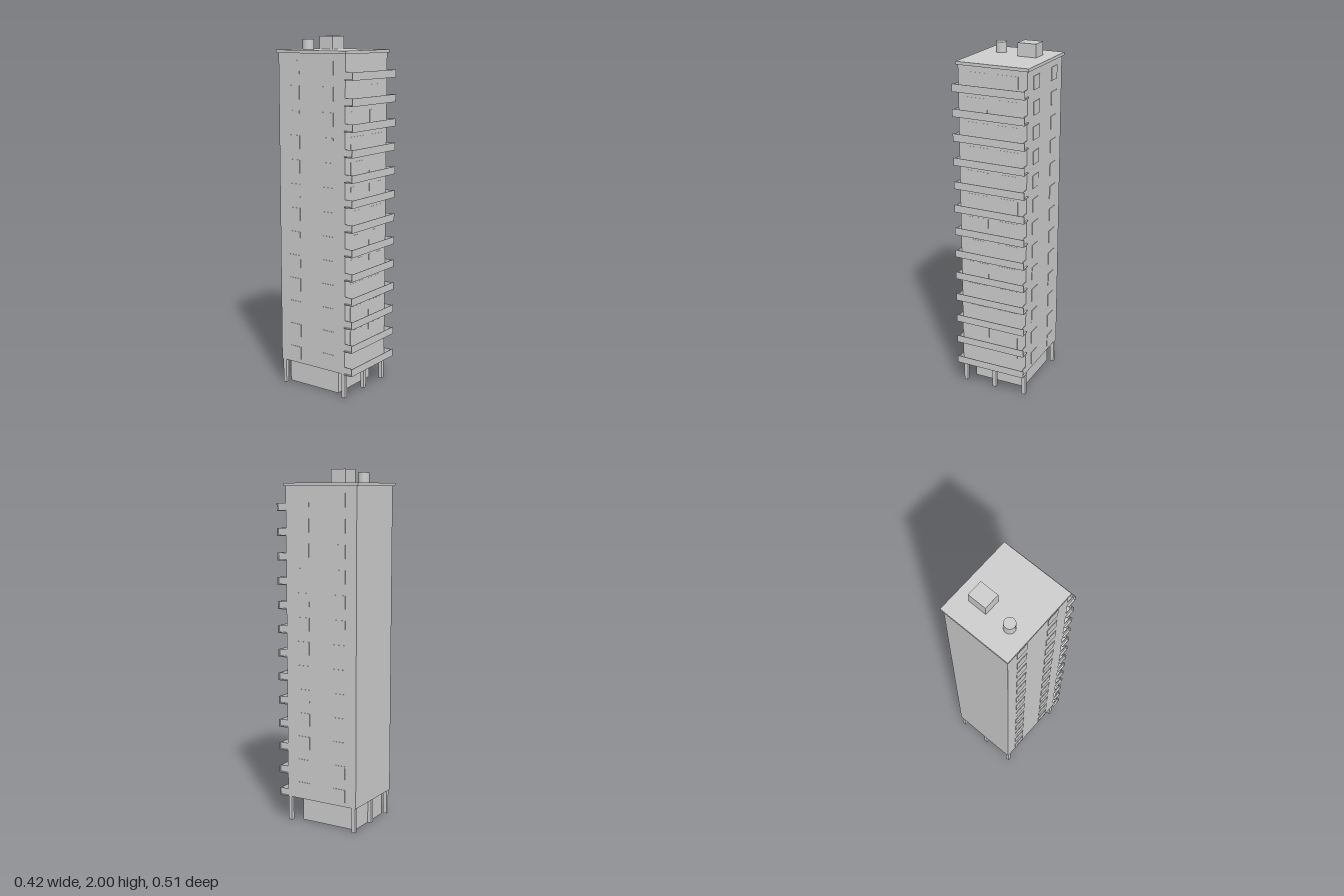
import * as THREE from 'three';

export function createModel() {
  const concrete = new THREE.MeshStandardMaterial({ color: 0xcccccc });
  concrete.name = 'concrete grey';

  const model = new THREE.Group();
  model.name = 'apartmentTower';

  // Box given by its min and max along each axis
  const box = (name, [x0, x1], [y0, y1], [z0, z1], parent = model) => {
    const mesh = new THREE.Mesh(new THREE.BoxGeometry(x1 - x0, y1 - y0, z1 - z0), concrete);
    mesh.position.set((x0 + x1) / 2, (y0 + y1) / 2, (z0 + z1) / 2);
    mesh.name = name;
    parent.add(mesh);
    return mesh;
  };

  const base = 0.142, floors = 13, floorHeight = 0.136;
  const bodyTop = base + floors * floorHeight;
  const halfW = 0.202, front = 0.203, back = -0.246;

  // Main block and roof slab
  box('towerBody', [-halfW, halfW], [base, bodyTop], [back, front]);
  box('roofSlab', [-0.212, 0.212], [bodyTop, 1.927], [-0.257, 0.211]);

  // Rooftop lift housing and water tank
  box('liftHousing', [0.027, 0.136], [1.927, 2], [-0.138, -0.047]);
  const tank = new THREE.Mesh(new THREE.CylinderGeometry(0.031, 0.031, 0.058, 32), concrete);
  tank.name = 'waterTank';
  tank.position.set(-0.103, 1.956, -0.116);
  model.add(tank);

  // Recessed lobby and the columns around it
  box('lobby', [-0.158, 0.158], [0, 0.126], [-0.216, 0.127]);
  for (const x of [-0.188, 0, 0.188]) {
    for (const z of [-0.228, 0.191]) {
      box('column', [x - 0.011, x + 0.011], [0, base], [z - 0.011, z + 0.011]);
    }
  }

  // Each storey: balcony, balcony doors and side windows
  for (let i = 0; i < floors; i++) {
    const y = base + i * floorHeight;
    const storey = new THREE.Group();
    storey.name = 'storey';
    model.add(storey);

    box('balconyFloor', [-0.212, 0.212], [y, y + 0.006], [front, 0.253], storey);
    box('balconyFront', [-0.212, 0.212], [y, y + 0.043], [0.253, 0.256], storey);

    for (const side of [-1, 1]) {
      const span = (a, b) => (side > 0 ? [a, b] : [-b, -a]);
      box('balconySide', span(0.199, 0.202), [y + 0.006, y + 0.043], [front, 0.253], storey);
      box('balconyDoor', span(0.03, 0.15), [y + 0.006, y + 0.104], [front, front + 0.001], storey);
      for (const z of [0.09, -0.14]) {
        box('window', span(halfW, halfW + 0.003), [y + 0.024, y + 0.098], [z - 0.037, z + 0.037], storey);
      }
    }
  }
  return model;
}
